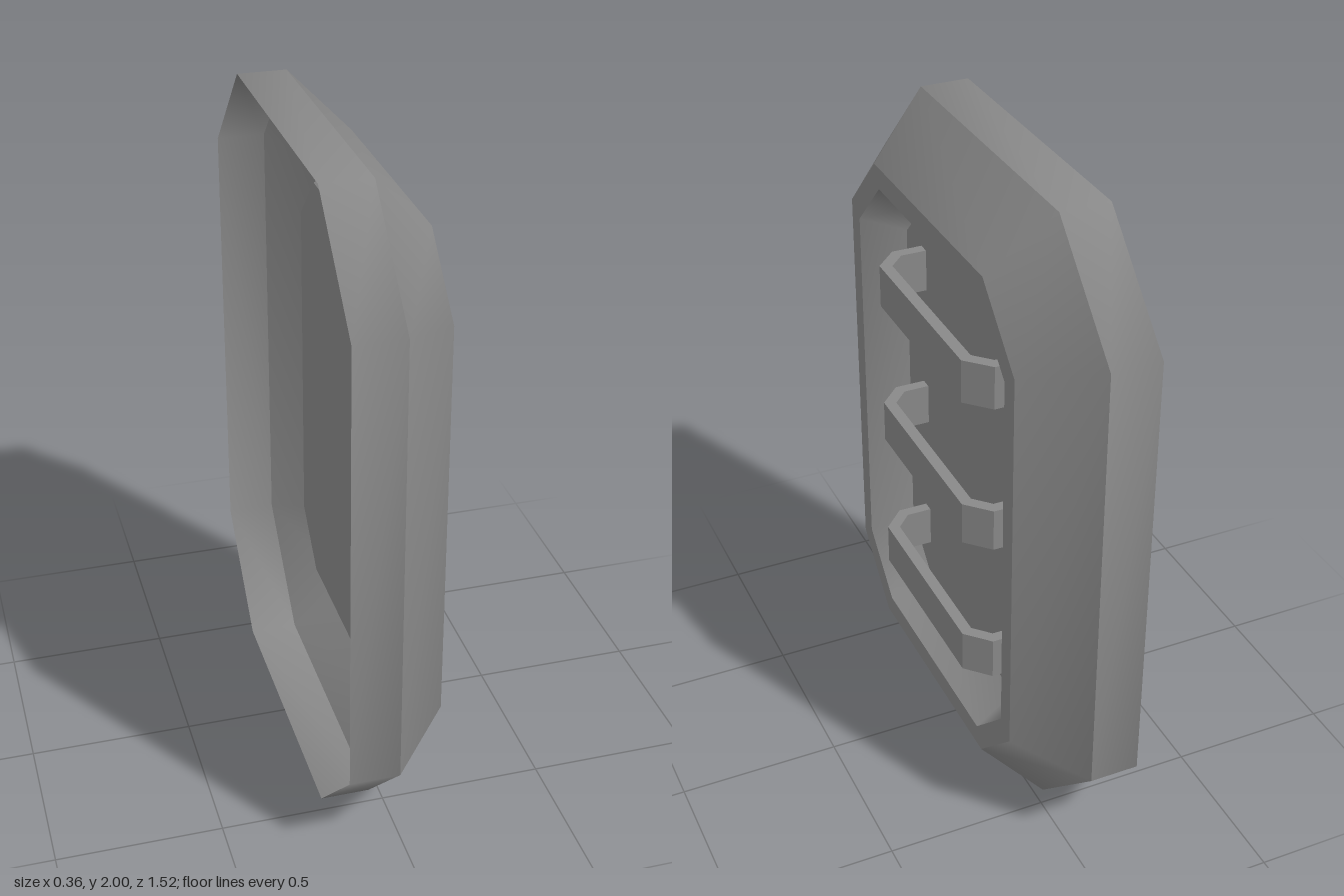
import * as THREE from 'three';

const grey = new THREE.MeshStandardMaterial({ color: 0x888888, side: THREE.DoubleSide });
grey.name = 'grey metal';

// Chamfered rectangle around y = 1, as [z, y] corners running round the outline
function outline({ halfZ, halfY, cut }) {
  const a = halfZ, b = halfY, c = cut;
  return [
    [a, c - b], [a, b - c], [a - c, b], [c - a, b],
    [-a, b - c], [-a, c - b], [c - a, -b], [a - c, -b],
  ].map(([z, y]) => [z, y + 1]);
}

// Band of faces joining two chamfered outlines, smooth around its length
function band(from, to) {
  const positions = [], index = [];
  for (const ring of [from, to]) {
    for (const [z, y] of outline(ring)) positions.push(ring.x, y, z);
  }
  for (let i = 0; i < 8; i++) {
    const j = (i + 1) % 8;
    index.push(i, j, j + 8, i, j + 8, i + 8);
  }
  const geometry = new THREE.BufferGeometry();
  geometry.setAttribute('position', new THREE.Float32BufferAttribute(positions, 3));
  geometry.setIndex(index);
  geometry.computeVertexNormals();
  return geometry;
}

export function createModel() {
  const group = new THREE.Group();
  group.name = 'bulkheadFixture';
  const add = (name, geometry) => {
    const mesh = new THREE.Mesh(geometry, grey);
    mesh.name = name;
    group.add(mesh);
    return mesh;
  };

  // Open-backed housing, from the back edge round to the recess floor
  const rings = [
    { x: -0.18, halfZ: 0.76, halfY: 1, cut: 0.308 },
    { x: -0.03, halfZ: 0.76, halfY: 1, cut: 0.308 },
    { x: 0.15, halfZ: 0.58, halfY: 0.82, cut: 0.2 },
    { x: 0.15, halfZ: 0.52, halfY: 0.753, cut: 0.172 },
    { x: 0.015, halfZ: 0.475, halfY: 0.69, cut: 0.155 },
  ];
  ['sideWall', 'bevel', 'frontRim', 'recessWall'].forEach((name, i) => {
    add(name, band(rings[i], rings[i + 1]));
  });

  // Recess floor
  const floor = rings[4];
  const floorShape = new THREE.Shape(outline(floor).map(([z, y]) => new THREE.Vector2(z, y)));
  const panel = new THREE.ShapeGeometry(floorShape);
  panel.rotateY(Math.PI / 2);
  add('recessPanel', panel).position.x = floor.x;

  // Three bent straps standing on the recess floor
  const half = [[0.015, 0.367], [0.11, 0.367], [0.178, 0.297]];
  const inner = [[0.143, 0.282], [0.095, 0.332], [0.015, 0.332]];
  const mirror = (points) => points.map(([x, z]) => [x, -z]).reverse();
  const profile = [...half, ...mirror(half), ...mirror(inner), ...inner];
  const strapShape = new THREE.Shape(profile.map(([x, z]) => new THREE.Vector2(x, z)));
  const strap = new THREE.ExtrudeGeometry(strapShape, { depth: 0.134, bevelEnabled: false });
  strap.rotateX(-Math.PI / 2);
  [0.455, 0.928, 1.402].forEach((y, i) => {
    add('strap' + (i + 1), strap).position.set(0, y, -0.007);
  });

  return group;
}
